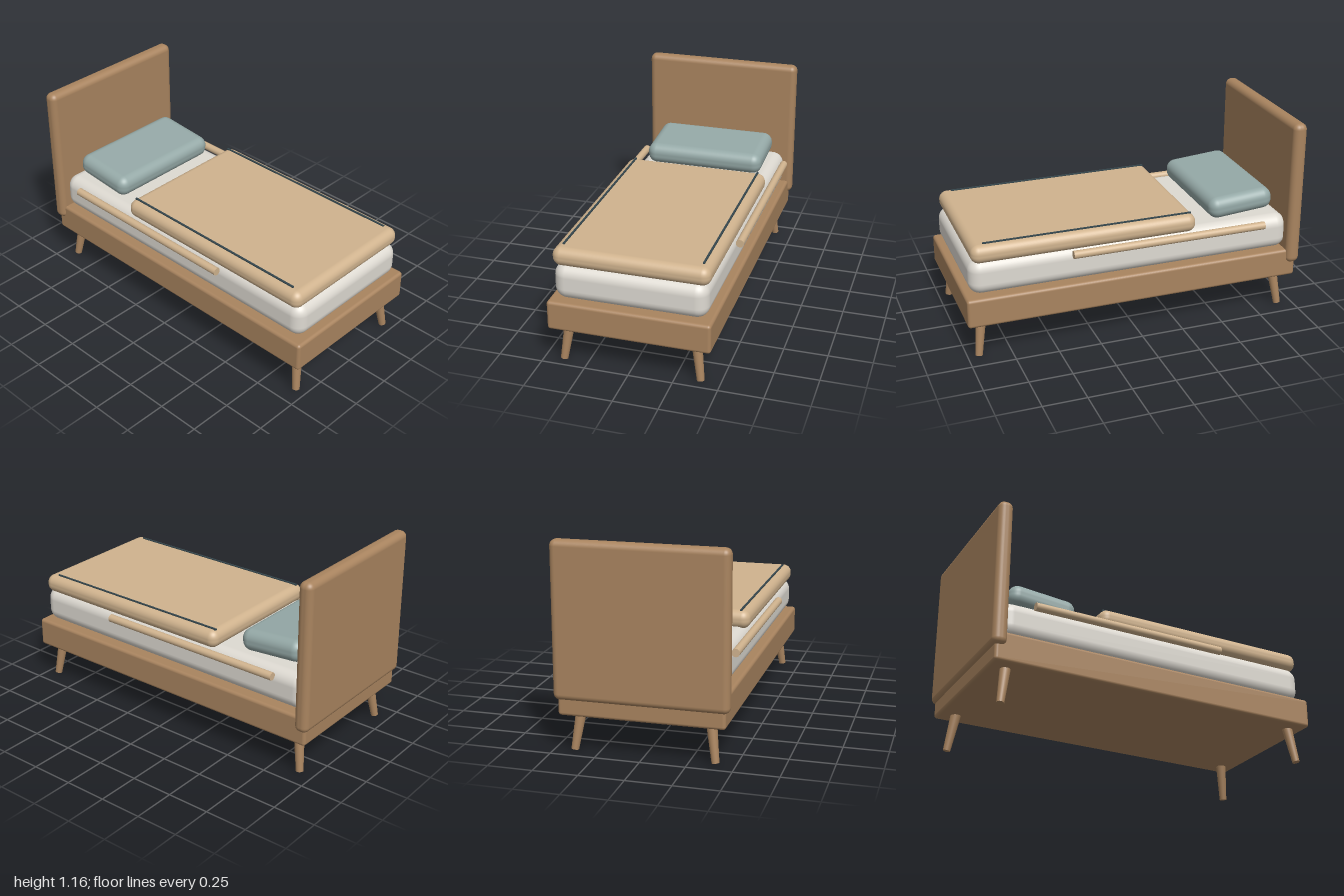
import * as THREE from 'three';
import { RoundedBoxGeometry } from 'three/addons/geometries/RoundedBoxGeometry.js';

function material(name, color) {
  const m = new THREE.MeshStandardMaterial({ color });
  m.name = name;
  return m;
}

export function createModel() {
  const bed = new THREE.Group();
  bed.name = 'bed';

  const wood = material('wood', 0xa9845f);
  const tan = material('tan', 0xd0b38e);
  const linen = material('linen', 0xdedad2);
  const sage = material('sage', 0x95a9a7);
  const slate = material('slate', 0x36474d);

  function add(name, geometry, mat) {
    const mesh = new THREE.Mesh(geometry, mat);
    mesh.name = name;
    bed.add(mesh);
    return mesh;
  }

  // Rounded box centred on x, given its y and z extents
  function block(name, mat, width, [y0, y1], [z0, z1], radius) {
    const mesh = add(name, new RoundedBoxGeometry(width, y1 - y0, z1 - z0, 5, radius), mat);
    mesh.position.set(0, (y0 + y1) / 2, (z0 + z1) / 2);
    return mesh;
  }

  // Round bar between two points
  function bar(name, mat, from, to, rFrom, rTo) {
    const dir = to.clone().sub(from);
    const mesh = add(name, new THREE.CylinderGeometry(rTo, rFrom, dir.length(), 24), mat);
    mesh.position.copy(from).add(to).multiplyScalar(0.5);
    mesh.quaternion.setFromUnitVectors(new THREE.Vector3(0, 1, 0), dir.normalize());
    return mesh;
  }

  // Frame and bedding
  block('base', wood, 0.916, [0.212, 0.383], [-0.98, 1], 0.018);
  block('headboard', wood, 0.962, [0.3, 1.165], [-1, -0.917], 0.035);
  block('mattress', linen, 0.858, [0.383, 0.592], [-0.94, 0.972], 0.07);
  block('blanket', tan, 0.874, [0.575, 0.682], [-0.353, 0.957], 0.048);

  // Pillow leans up toward the headboard
  const pillow = block('pillow', sage, 0.73, [0.605, 0.733], [-0.866, -0.47], 0.056);
  pillow.rotation.x = 0.08;

  for (const side of [-1, 1]) {
    const label = side > 0 ? 'left' : 'right';

    // Stitched stripe along the blanket
    const stripe = add(label + 'BlanketStripe', new THREE.BoxGeometry(0.011, 0.009, 1.215), slate);
    stripe.position.set(side * 0.387, 0.6835, 0.278);

    // Side rail
    bar(label + 'Rail', tan,
      new THREE.Vector3(side * 0.458, 0.567, -0.763),
      new THREE.Vector3(side * 0.458, 0.567, 0.395), 0.023, 0.023);

    // Splayed tapered legs
    for (const [end, zFoot, zTop] of [['Front', 0.936, 0.908], ['Back', -0.912, -0.88]]) {
      bar(label + end + 'Leg', wood,
        new THREE.Vector3(side * 0.39, 0.005, zFoot),
        new THREE.Vector3(side * 0.359, 0.225, zTop), 0.021, 0.03);
    }
  }

  return bed;
}
